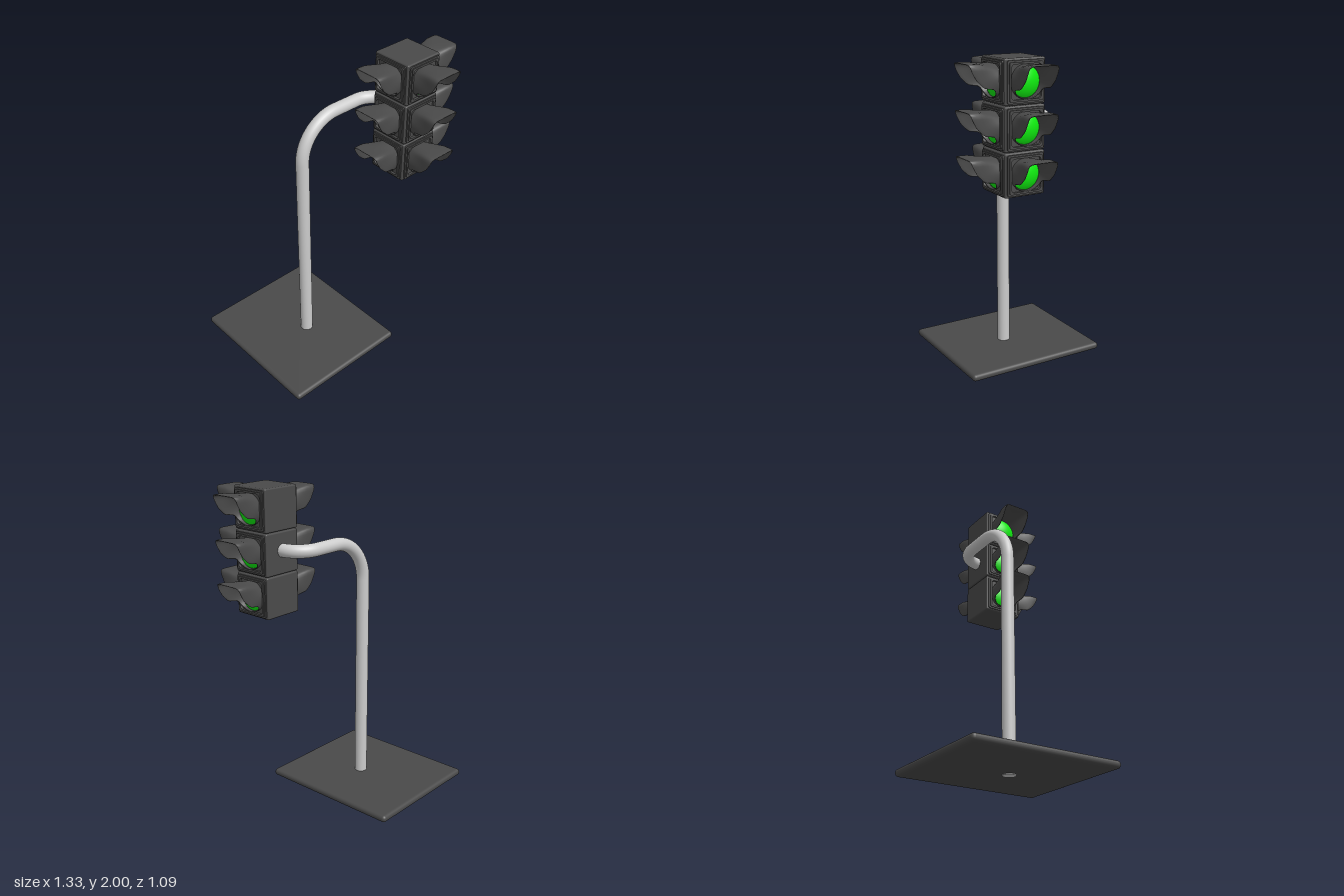
import * as THREE from 'three';
import { RoundedBoxGeometry } from 'three/addons/geometries/RoundedBoxGeometry.js';

const dark = new THREE.MeshStandardMaterial({ color: 0x4a4a4a });
const darkThin = new THREE.MeshStandardMaterial({ color: 0x4a4a4a, side: THREE.DoubleSide });
const grey = new THREE.MeshStandardMaterial({ color: 0xcccccc });
const green = new THREE.MeshStandardMaterial({ color: 0x10ee10 });

function part(name, geometry, material, x = 0, y = 0, z = 0) {
  const mesh = new THREE.Mesh(geometry, material);
  mesh.name = name;
  mesh.position.set(x, y, z);
  return mesh;
}

function roundedSquare(Type, h, r) {
  const s = new Type();
  s.moveTo(h - r, -h);
  s.absarc(h - r, -h + r, r, -Math.PI / 2, 0);
  s.absarc(h - r, h - r, r, 0, Math.PI / 2);
  s.absarc(-h + r, h - r, r, Math.PI / 2, Math.PI);
  s.absarc(-h + r, -h + r, r, Math.PI, Math.PI * 1.5);
  s.closePath();
  return s;
}

function frameGeometry(half, depth) {
  const s = roundedSquare(THREE.Shape, half, 0.012);
  s.holes.push(roundedSquare(THREE.Path, 0.094, 0.02));
  return new THREE.ExtrudeGeometry(s, { depth, bevelEnabled: false, curveSegments: 4 });
}

// Length of the visor at each height: long at the top, a short lip at the bottom
const LIP = [[-0.1, 0.02], [-0.05, 0.035], [-0.04, 0.05], [-0.029, 0.105], [0.015, 0.15], [0.06, 0.175], [0.1, 0.19]];
function visorLength(y) {
  for (let i = 1; i < LIP.length; i++) {
    const [y0, d0] = LIP[i - 1], [y1, d1] = LIP[i];
    if (y <= y1) return THREE.MathUtils.mapLinear(Math.max(y, y0), y0, y1, d0, d1);
  }
  return 0.19;
}

// Hood lofted from a round root to a square mouth, with an inner skin and a rim
function visorGeometry() {
  const N = 64, M = 6, pos = [], idx = [];
  const rings = [];
  for (let j = 0; j <= M; j++) rings.push([j / M, 1]);
  for (let j = M; j >= 0; j--) rings.push([j / M, 0.955]);
  for (const [t, inset] of rings) {
    for (let i = 0; i <= N; i++) {
      const a = (i / N) * Math.PI * 2 - Math.PI / 2;
      const c = Math.cos(a), s = Math.sin(a);
      const k = Math.pow(Math.abs(c) ** 9 + Math.abs(s) ** 9, -1 / 9);
      const sx = 0.095 * c * k, sy = 0.1 * s * k;
      const d = visorLength(sy) * t;
      const f = Math.min(1, d / 0.13);
      pos.push(
        THREE.MathUtils.lerp(0.093 * c, sx, f) * inset,
        THREE.MathUtils.lerp(0.093 * s, sy, f) * inset,
        d);
    }
  }
  const W = N + 1;
  for (let j = 0; j < rings.length - 1; j++) {
    for (let i = 0; i < N; i++) {
      const a = j * W + i, b = a + 1, c = a + W, d = c + 1;
      idx.push(a, b, d, a, d, c);
    }
  }
  const g = new THREE.BufferGeometry();
  g.setAttribute('position', new THREE.Float32BufferAttribute(pos, 3));
  g.setIndex(idx);
  g.computeVertexNormals();
  return g;
}

// Shallow domed lens facing +z
function lensGeometry() {
  const R = 0.14, r = 0.087;
  const g = new THREE.SphereGeometry(R, 32, 6, 0, Math.PI * 2, 0, Math.asin(r / R));
  g.rotateX(Math.PI / 2);
  g.translate(0, 0, -Math.sqrt(R * R - r * r));
  return g;
}

// Quarter bend joining two straight runs
function bend(start, corner, end) {
  const k = 0.5523;
  return new THREE.CubicBezierCurve3(start, start.clone().lerp(corner, k), end.clone().lerp(corner, k), end);
}

export function createModel() {
  const model = new THREE.Group();
  model.name = 'trafficLight';

  // Base plate
  model.add(part('base', new RoundedBoxGeometry(0.83, 0.045, 0.945, 4, 0.021), dark, -0.25, 0.0275, -0.0725));

  // Bent pole
  const V = (x, y, z) => new THREE.Vector3(x, y, z);
  const path = new THREE.CurvePath();
  const z = -0.035, top = 1.635;
  path.add(new THREE.LineCurve3(V(-0.225, 0, z), V(-0.225, top - 0.26, z)));
  path.add(bend(V(-0.225, top - 0.26, z), V(-0.225, top, z), V(0.035, top, z)));
  path.add(new THREE.LineCurve3(V(0.035, top, z), V(0.2, top, z)));
  path.add(bend(V(0.2, top, z), V(0.342, top, z), V(0.342, top, 0.105)));
  path.add(new THREE.LineCurve3(V(0.342, top, 0.105), V(0.342, top, 0.13)));
  model.add(part('pole', new THREE.TubeGeometry(path, 120, 0.04, 24), grey));
  const foot = part('poleFoot', new THREE.CircleGeometry(0.04, 24), grey, -0.225, 0, z);
  foot.rotation.x = Math.PI / 2;
  model.add(foot);

  // Signal head: three stacked housings, each with a lamp on three sides
  const body = new RoundedBoxGeometry(0.254, 0.251, 0.254, 3, 0.01);
  const outerFrame = frameGeometry(0.115, 0.009);
  const innerFrame = frameGeometry(0.105, 0.016);
  const visor = visorGeometry();
  const lens = lensGeometry();
  const head = new THREE.Group();
  head.name = 'signalHead';
  head.position.set(0.343, 0, 0.225);
  for (const y of [1.874, 1.62, 1.366]) {
    const section = new THREE.Group();
    section.name = 'signalSection';
    section.position.y = y;
    section.add(part('housing', body, dark));
    for (const turn of [-1, 0, 1]) {
      const lamp = new THREE.Group();
      lamp.name = 'lamp';
      lamp.rotation.y = turn * Math.PI / 2;
      lamp.add(
        part('outerFrame', outerFrame, dark, 0, 0, 0.126),
        part('innerFrame', innerFrame, dark, 0, 0, 0.126),
        part('visor', visor, darkThin, 0, 0, 0.127),
        part('lens', lens, green, 0, 0, 0.128));
      section.add(lamp);
    }
    head.add(section);
  }
  model.add(head);
  return model;
}
